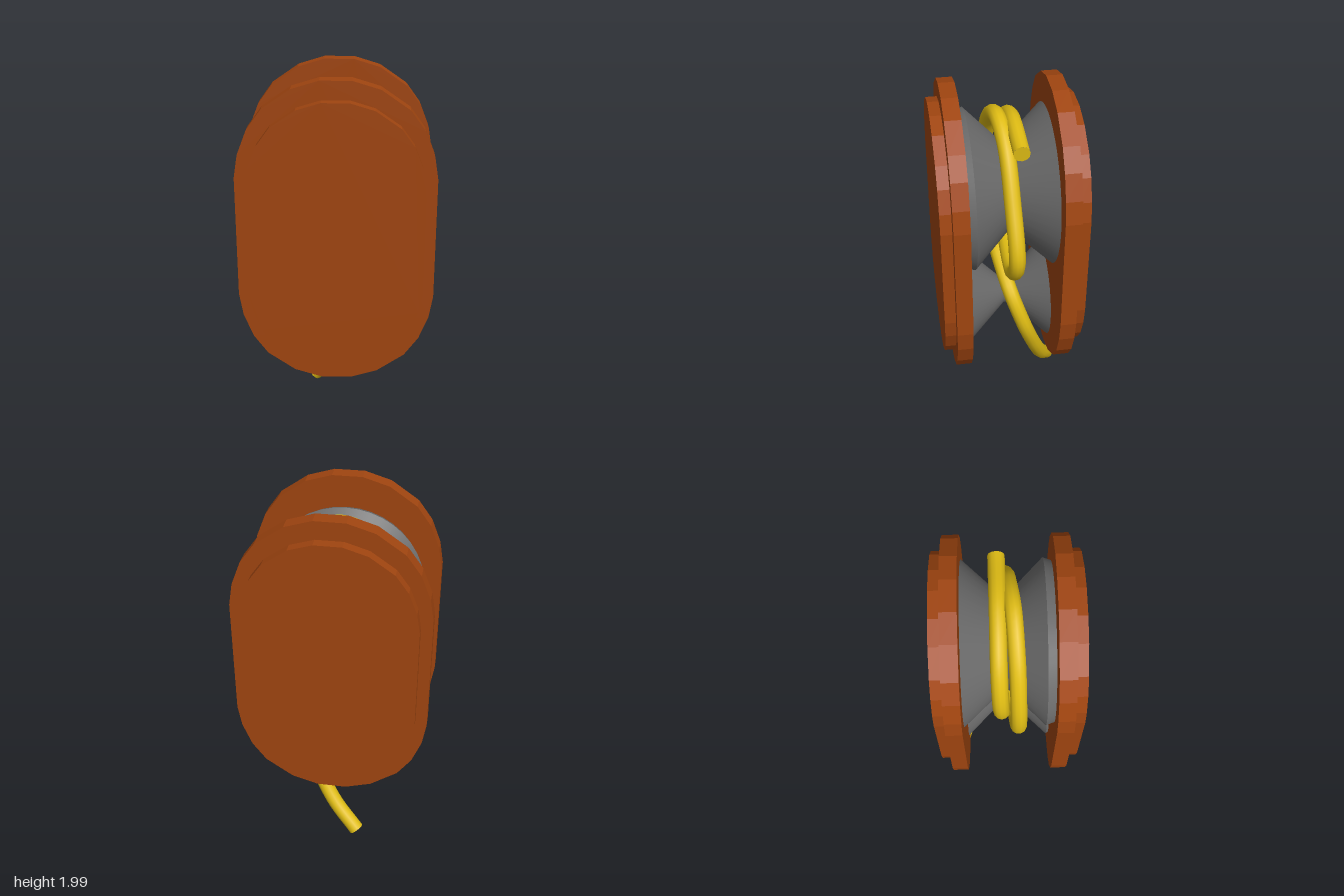
import * as THREE from 'three';

const WOOD = 0xa04510, STEEL = 0x6b6b6b, ROPE = 0xe0bd14;
const PLATE_Y = 1.1875;

function add(parent, name, geometry, color) {
  const mesh = new THREE.Mesh(geometry, new THREE.MeshStandardMaterial({ color }));
  mesh.name = name;
  parent.add(mesh);
  return mesh;
}

// Faceted oval slab, from one mirrored quarter outline
function ovalSlab(scale, depth) {
  const quarter = [[0.51, 0.32], [0.49, 0.44], [0.44, 0.567], [0.365, 0.67], [0.22, 0.77], [0.08, 0.8125]];
  const upper = [...quarter, ...quarter.map(([x, y]) => [-x, y]).reverse()];
  const all = [...upper, ...upper.map(([x, y]) => [-x, -y])];
  const shape = new THREE.Shape(all.map(([x, y]) => new THREE.Vector2(x * scale, y * scale)));
  return new THREE.ExtrudeGeometry(shape, { depth, bevelEnabled: false });
}

// Grooved wheel along z; doubled profile points keep the rims sharp
function wheel(profile) {
  const pts = profile.flatMap(([r, z]) => [new THREE.Vector2(r, z), new THREE.Vector2(r, z)]);
  return new THREE.LatheGeometry(pts, 40).rotateX(Math.PI / 2);
}

export function createModel() {
  const model = new THREE.Group();
  model.name = 'pulleyBlock';

  // Stepped cheek plates, front and back
  for (const side of [1, -1]) {
    const cheek = new THREE.Group();
    cheek.name = side > 0 ? 'frontCheek' : 'backCheek';
    cheek.position.y = PLATE_Y;
    if (side < 0) cheek.rotation.y = Math.PI;
    add(cheek, 'cheekPlate', ovalSlab(1, 0.083), WOOD).position.z = 0.227;
    add(cheek, 'cheekCover', ovalSlab(0.883, 0.058), WOOD).position.z = 0.31;
    model.add(cheek);
  }

  // Large upper and small lower wheels
  add(model, 'upperWheel', wheel([
    [0, -0.226], [0.425, -0.226], [0.227, -0.012], [0.425, 0.185], [0.41, 0.228], [0, 0.228],
  ]), STEEL).position.y = 1.42;
  add(model, 'lowerWheel', wheel([
    [0, -0.226], [0.27, -0.226], [0.07, -0.025], [0.07, 0.005], [0.27, 0.215], [0.26, 0.228], [0, 0.228],
  ]), STEEL).position.y = 0.71;

  // Rope: twice over the upper wheel, then past the lower wheel and out below
  const path = new THREE.CatmullRomCurve3([
    [0.3, 1.795, -0.047], [0.0, 1.82, -0.045], [-0.24, 1.7, -0.045], [-0.35, 1.45, -0.04],
    [-0.26, 1.18, -0.03], [0.0, 1.11, -0.01], [0.33, 1.11, -0.003], [0.44, 1.25, -0.008],
    [0.33, 1.53, 0.0], [0.17, 1.76, 0.01], [0.0, 1.835, 0.028], [-0.22, 1.72, 0.042],
    [-0.36, 1.48, 0.048], [-0.385, 1.26, 0.05], [-0.3, 1.03, 0.045], [-0.06, 0.91, 0.015],
    [0.12, 0.79, -0.025], [0.165, 0.6, -0.09], [0.11, 0.4, -0.157], [0.0, 0.2, -0.228],
    [-0.145, 0.043, -0.295],
  ].map((p) => new THREE.Vector3(...p)));
  const rope = new THREE.Group();
  rope.name = 'rope';
  const radius = 0.042;
  add(rope, 'ropeStrand', new THREE.TubeGeometry(path, 160, radius, 12), ROPE);
  for (const t of [0, 1]) {
    const cap = add(rope, 'ropeEnd', new THREE.CircleGeometry(radius, 12), ROPE);
    const out = path.getTangent(t).multiplyScalar(t ? 1 : -1);
    cap.position.copy(path.getPoint(t));
    cap.quaternion.setFromUnitVectors(new THREE.Vector3(0, 0, 1), out);
  }
  model.add(rope);

  return model;
}
